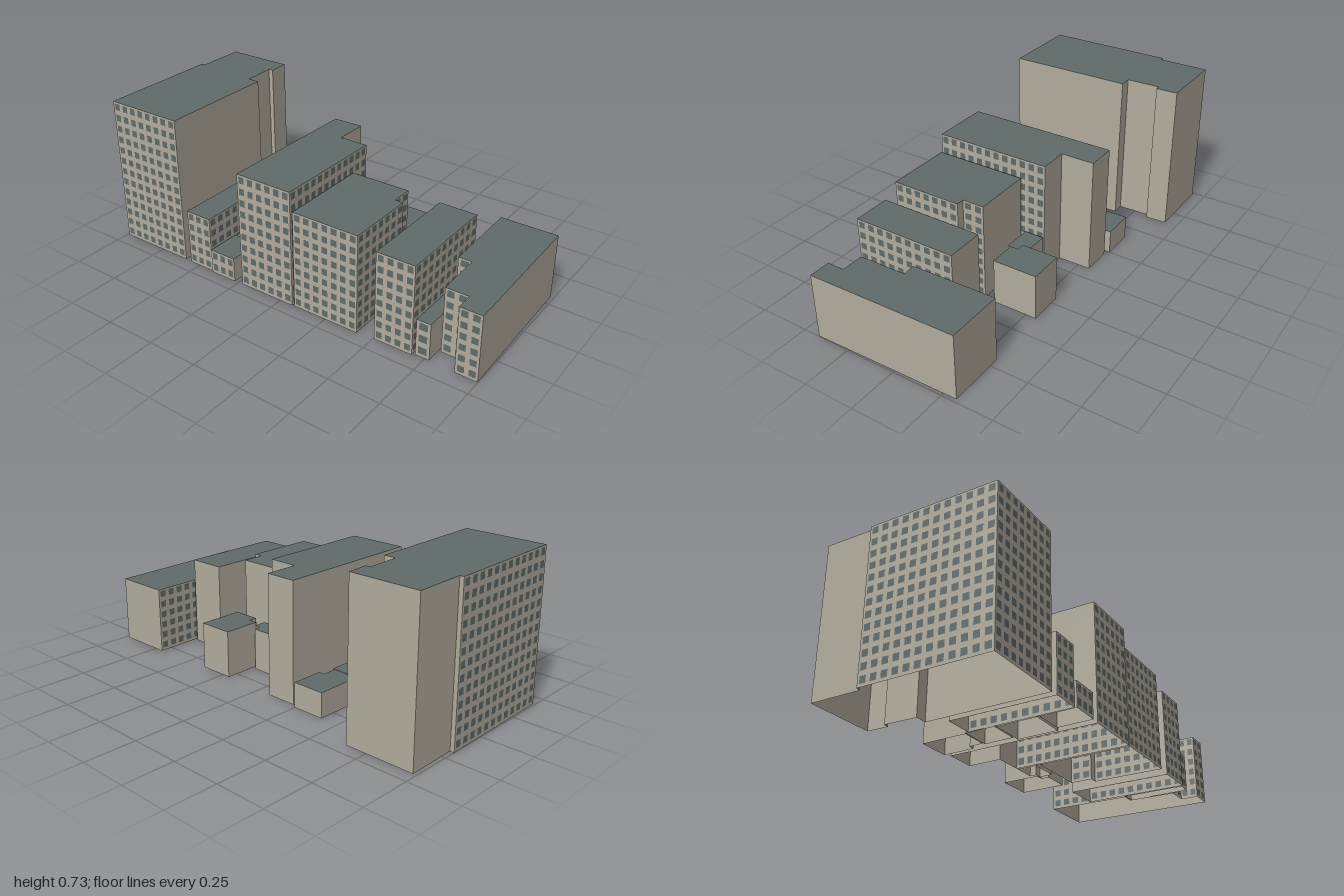
import * as THREE from 'three';
import { mergeGeometries } from 'three/addons/utils/BufferGeometryUtils.js';

const stone = new THREE.MeshStandardMaterial({ color: 0xb3ad9e, side: THREE.DoubleSide });
stone.name = 'stone';
const slate = new THREE.MeshStandardMaterial({ color: 0x5f6b6a, side: THREE.DoubleSide });
slate.name = 'slate';

const SQUARE = [[0, 0]];

// Footprint: a rectangle whose corners may be cut in steps, given as inward offsets
// in walking order front left, front right, back right, back left
function footprint([x0, x1], [z0, z1], { fl = SQUARE, fr = SQUARE, br = SQUARE, bl = SQUARE, lean = 0 }) {
  return [
    ...fl.map(([a, b]) => [x0 + a, z1 - b]),
    ...fr.map(([a, b]) => [x1 - a, z1 - b]),
    ...br.map(([a, b]) => [x1 - a, z0 + b]),
    ...bl.map(([a, b]) => [x0 + a, z0 + b]),
  ].map(([x, z]) => [x + lean * z, z]);
}

// Single rectangular notches; the first starts on a side wall, the second on the front wall
const notch = (w, d) => [[0, d], [w, d], [w, 0]];
const frontNotch = (w, d) => notch(w, d).reverse();

// Which way the wall from p to q faces; walls deep in the rear count as back walls
function facing(p, q) {
  const dx = q[0] - p[0], dz = q[1] - p[1];
  if ((p[1] + q[1]) / 2 < -0.2) return 'back';
  if (Math.abs(dx) > Math.abs(dz)) return dx > 0 ? 'front' : 'back';
  return dz < 0 ? 'right' : 'left';
}

// One flat wall; window openings are cut out and filled with panes
function wallParts(p, q, h, glazed) {
  const dx = q[0] - p[0], dz = q[1] - p[1], w = Math.hypot(dx, dz);
  const shape = new THREE.Shape().moveTo(0, 0).lineTo(w, 0).lineTo(w, h).lineTo(0, h);
  const panes = [];
  if (glazed) {
    const cols = Math.round(w / 0.0495), rows = Math.round(h / 0.055);
    const cw = w / cols, ch = h / rows, pw = cw * 0.6, ph = ch * 0.58;
    for (let r = 0; r < rows; r++) {
      for (let c = 0; c < cols; c++) {
        const x = (c + 0.5) * cw, y = (r + 0.5) * ch + 0.003;
        const a = x - pw / 2, b = x + pw / 2, lo = y - ph / 2, hi = y + ph / 2;
        shape.holes.push(new THREE.Path().moveTo(a, lo).lineTo(a, hi).lineTo(b, hi).lineTo(b, lo));
        panes.push(new THREE.PlaneGeometry(pw, ph).translate(x, y, 0));
      }
    }
  }
  const place = (g) => g.rotateY(Math.atan2(-dz, dx)).translate(p[0], 0, p[1]);
  return { wall: place(new THREE.ShapeGeometry(shape)), panes: panes.map(place) };
}

function building(name, h, xs, zs, glazedSides = [], corners = {}) {
  const group = new THREE.Group();
  group.name = name;
  const add = (geometry, material, label) => {
    const mesh = new THREE.Mesh(geometry, material);
    mesh.name = label;
    group.add(mesh);
  };

  // walls and windows
  const plan = footprint(xs, zs, corners);
  const parts = plan.map((p, i) => {
    const q = plan[(i + 1) % plan.length];
    return wallParts(p, q, h, glazedSides.includes(facing(p, q)));
  });
  const panes = parts.flatMap((part) => part.panes);
  add(mergeGeometries(parts.map((part) => part.wall)), stone, 'walls');
  if (panes.length) add(mergeGeometries(panes), slate, 'windows');

  // flat roof; the underside of the building stays open
  const outline = new THREE.Shape(plan.map(([x, z]) => new THREE.Vector2(x, -z)));
  add(new THREE.ShapeGeometry(outline).rotateX(-Math.PI / 2).translate(0, h, 0), slate, 'roof');
  return group;
}

export function createModel() {
  const model = new THREE.Group();
  model.name = 'cityBlock';

  // tall tower with stepped rear corners
  model.add(building('tallTower', 0.733, [-0.997, -0.598], [-0.437, 0.428], ['front', 'left'], {
    lean: 0.015,
    br: [[0, 0.268], [0.058, 0.268], [0.062, 0.105], [0.038, 0.105], [0.042, 0]],
    bl: [[0.02, 0], [0.02, 0.247], [0, 0.247]],
  }));

  // narrow block and the row of low houses behind one another
  model.add(
    building('narrowBlock', 0.28, [-0.559, -0.42], [-0.08, 0.43], ['front', 'right'], { lean: 0.007 }),
    building('lowFrontHouse', 0.122, [-0.41, -0.27], [0.265, 0.437], ['front']),
    building('lowSecondHouse', 0.122, [-0.41, -0.24], [0.055, 0.252], ['front']),
    building('lowThirdHouse', 0.12, [-0.415, -0.269], [-0.097, 0.047]),
    building('lowRearHouse', 0.12, [-0.41, -0.25], [-0.327, -0.102], [], { fr: frontNotch(0.03, 0.068) }),
  );

  // centre tower, wide block and the courtyard buildings
  model.add(
    building('centreTower', 0.577, [-0.226, 0.069], [-0.311, 0.433], ['front', 'right'], { br: notch(0.144, 0.165) }),
    building('wideBlock', 0.485, [0.08, 0.419], [-0.025, 0.431], ['front', 'right'], { br: notch(0.041, 0.108) }),
    building('courtyardShed', 0.205, [0.08, 0.225], [-0.146, -0.048], [], { br: notch(0.035, 0.032) }),
    building('courtyardHouse', 0.228, [0.21, 0.385], [-0.302, -0.08], [], { fl: notch(0.04, 0.04) }),
  );

  // slim block, infill and the block with a stepped front
  model.add(
    building('slimBlock', 0.437, [0.504, 0.692], [-0.089, 0.422], ['front', 'right']),
    building('smallInfill', 0.18, [0.702, 0.77], [0.107, 0.411], ['front']),
    building('steppedBlock', 0.324, [0.71, 0.99], [-0.314, 0.417], ['front', 'left'], {
      lean: 0.02,
      fl: [[0, 0.317], [0.064, 0.317], [0.064, 0.085], [0.174, 0.085], [0.174, 0]],
    }),
  );
  return model;
}
